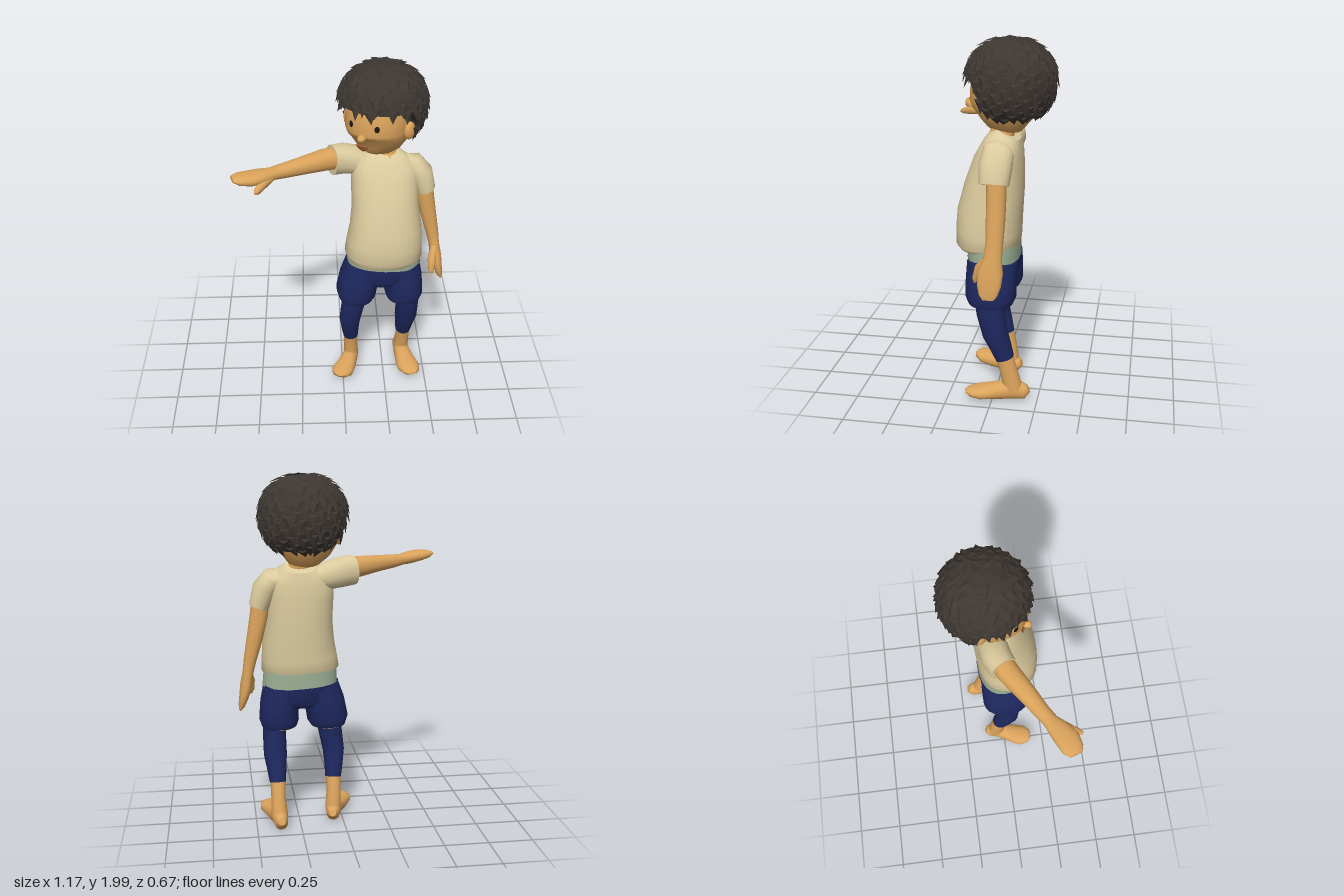
import * as THREE from 'three';

const mat = (name, color, extra = {}) => {
  const m = new THREE.MeshStandardMaterial({ color, ...extra });
  m.name = name;
  return m;
};
const X = new THREE.Vector3(1, 0, 0), Y = new THREE.Vector3(0, 1, 0);

// Closed skin over elliptical sections [x, y, z, radius along ref, radius across ref]
function loft(sections, ref = X, n = 18, power = 0.9) {
  const pos = [], index = [], m = sections.length;
  const at = i => new THREE.Vector3(...sections[Math.min(Math.max(i, 0), m - 1)].slice(0, 3));
  const soft = v => Math.sign(v) * Math.abs(v) ** power;
  const ring = i => {
    const [, , , a, b = a] = sections[i];
    const t = at(i + 1).sub(at(i - 1)).normalize();
    const u = ref.clone().addScaledVector(t, -ref.dot(t)).normalize();
    const v = t.clone().cross(u), start = pos.length / 3;
    for (let j = 0; j < n; j++) {
      const w = (j / n) * Math.PI * 2;
      pos.push(...at(i).addScaledVector(u, a * soft(Math.cos(w))).addScaledVector(v, b * soft(Math.sin(w))));
    }
    return start;
  };
  sections.forEach((s, i) => ring(i));
  for (let i = 0; i < m - 1; i++) {
    for (let j = 0; j < n; j++) {
      const a = i * n + j, b = i * n + (j + 1) % n;
      index.push(a, b, b + n, a, b + n, a + n);
    }
  }
  for (const [i, flip] of [[0, true], [m - 1, false]]) {
    const s = ring(i), c = pos.length / 3;
    pos.push(...at(i));
    for (let j = 0; j < n; j++) {
      const a = s + j, b = s + (j + 1) % n;
      index.push(...(flip ? [b, a, c] : [a, b, c]));
    }
  }
  const g = new THREE.BufferGeometry();
  g.setAttribute('position', new THREE.Float32BufferAttribute(pos, 3));
  g.setIndex(index);
  g.computeVertexNormals();
  return g;
}

// Hair: a cap with a low nape and high fringe, covered in pointed tufts
const hairEdge = phi => 1.5 + 1.12 * THREE.MathUtils.smoothstep(Math.abs(phi), 1.15, 1.75);
function hairPoint(theta, phi, r) {
  const s = Math.sin(theta), rho = 0.238 * r * (theta > Math.PI / 2 ? s ** 0.6 : s ** 0.92);
  return [rho * Math.sin(phi), 1.77 + 0.215 * r * Math.cos(theta), -0.05 + rho * Math.cos(phi)];
}
function hairGeometry() {
  const pos = [], rows = 9, cols = 32;
  const cap = (i, j) => {
    const phi = (j / cols) * Math.PI * 2 - Math.PI;
    const t = Math.min(i / (rows - 1), 1) * hairEdge(phi);
    return hairPoint(t, phi, i === rows ? 0.74 : 1);
  };
  for (let i = 0; i < rows; i++) {
    for (let j = 0; j < cols; j++) {
      const a = cap(i, j), b = cap(i, j + 1), c = cap(i + 1, j + 1), d = cap(i + 1, j);
      pos.push(...a, ...d, ...c, ...a, ...c, ...b);
    }
  }
  let seed = 7;
  const rand = () => (seed = (seed * 16807) % 2147483647) / 2147483647;
  const count = 230;
  for (let k = 0; k < count; k++) {
    const theta = Math.acos(1 - 2 * (k + 0.5) / count);
    const phi = ((k * 2.39996) % (Math.PI * 2)) - Math.PI;
    if (theta > hairEdge(phi) - 0.08) continue;
    const w = Math.min(0.17 / Math.sin(theta), 0.9), lean = (rand() - 0.5) * w * 1.2;
    const left = hairPoint(theta, phi - w, 0.985), right = hairPoint(theta, phi + w, 0.985);
    const ridge = hairPoint(theta + 0.08, phi, 1.035);
    const tip = hairPoint(Math.min(theta + 0.3 + rand() * 0.08, 2.8), phi + lean, 1.05 + rand() * 0.03);
    pos.push(...left, ...tip, ...ridge, ...ridge, ...tip, ...right, ...left, ...ridge, ...right);
  }
  const g = new THREE.BufferGeometry();
  g.setAttribute('position', new THREE.Float32BufferAttribute(pos, 3));
  g.computeVertexNormals();
  return g;
}

export function createModel() {
  const model = new THREE.Group();
  model.name = 'boy';
  const skin = mat('skin', 0xdca45c), shirt = mat('cream shirt', 0xdccb9e), navy = mat('navy', 0x1e2960);
  const green = mat('pale green', 0x9bae93), dark = mat('eye black', 0x1c1512), lips = mat('mouth brown', 0x9a5a34);
  const hair = mat('hair', 0x3d3631, { side: THREE.DoubleSide, flatShading: true });
  const add = (name, geometry, material, parent = model) => {
    const mesh = new THREE.Mesh(geometry, material);
    mesh.name = name;
    parent.add(mesh);
    return mesh;
  };

  // Torso, neck and waist
  add('shirt', loft([
    [0.23, 0.87, 0.04, 0.195, 0.155], [0.23, 0.9, 0.042, 0.22, 0.175], [0.235, 0.97, 0.04, 0.213, 0.177],
    [0.24, 1.06, 0.033, 0.203, 0.175], [0.235, 1.2, 0.01, 0.185, 0.16], [0.23, 1.34, -0.015, 0.185, 0.135],
    [0.23, 1.42, -0.035, 0.182, 0.11], [0.235, 1.46, -0.05, 0.14, 0.092], [0.235, 1.49, -0.065, 0.085, 0.07],
  ], X, 28, 0.86), shirt);
  add('neck', loft([[0.24, 1.4, -0.01, 0.05], [0.24, 1.44, -0.008, 0.072], [0.238, 1.475, -0.03, 0.068],
    [0.23, 1.52, -0.035, 0.058], [0.21, 1.6, -0.03, 0.06]]), skin);
  add('waistband', loft([[0.235, 0.8, 0.01, 0.213, 0.142], [0.232, 0.92, 0.015, 0.205, 0.145]], X, 24, 0.86), green);
  add('shortsHips', loft([[0.228, 0.69, 0.012, 0.12, 0.11], [0.228, 0.73, 0.012, 0.21, 0.138],
    [0.233, 0.815, 0.01, 0.216, 0.145]], X, 24, 0.86), navy);

  // Shorts legs, leggings and bare feet
  const legs = {
    right: {
      shorts: [[0.125, 0.8, 0.012, 0.108, 0.135], [0.095, 0.7, 0.015, 0.115, 0.138], [0.078, 0.61, 0.018, 0.117, 0.138],
        [0.077, 0.57, 0.018, 0.1, 0.12]],
      legging: [[0.07, 0.62, 0.03, 0.075, 0.08], [0.06, 0.52, 0.035, 0.068, 0.072], [0.042, 0.4, 0.025, 0.062, 0.065],
        [0.045, 0.32, 0.0, 0.053, 0.057], [0.05, 0.25, -0.02, 0.046, 0.05]],
      ankle: [[0.05, 0.26, -0.018, 0.043, 0.046], [0.05, 0.17, -0.04, 0.041, 0.045], [0.055, 0.06, -0.05, 0.045, 0.05]],
      foot: [[0.065, 0.06, -0.115, 0.02, 0.02], [0.06, 0.052, -0.09, 0.045, 0.038], [0.05, 0.06, -0.03, 0.055, 0.045],
        [0.02, 0.054, 0.05, 0.045, 0.058], [-0.005, 0.057, 0.11, 0.034, 0.066], [-0.02, 0.067, 0.15, 0.022, 0.048],
        [-0.025, 0.072, 0.165, 0.008, 0.02]],
    },
    left: {
      shorts: [[0.335, 0.8, 0.008, 0.108, 0.135], [0.355, 0.7, 0.01, 0.108, 0.138], [0.357, 0.61, 0.012, 0.113, 0.138],
        [0.355, 0.57, 0.012, 0.1, 0.12]],
      legging: [[0.375, 0.62, 0.02, 0.075, 0.08], [0.385, 0.52, 0.01, 0.066, 0.076], [0.383, 0.4, -0.015, 0.066, 0.07],
        [0.378, 0.32, -0.045, 0.055, 0.06], [0.375, 0.25, -0.068, 0.046, 0.052]],
      ankle: [[0.375, 0.26, -0.066, 0.043, 0.048], [0.375, 0.17, -0.09, 0.041, 0.048], [0.37, 0.06, -0.115, 0.047, 0.055]],
      foot: [[0.363, 0.06, -0.2, 0.02, 0.02], [0.365, 0.05, -0.175, 0.046, 0.038], [0.37, 0.057, -0.1, 0.056, 0.045],
        [0.388, 0.048, 0.0, 0.043, 0.058], [0.405, 0.046, 0.07, 0.034, 0.068], [0.42, 0.05, 0.12, 0.024, 0.05],
        [0.425, 0.053, 0.145, 0.008, 0.022]],
    },
  };
  for (const [side, leg] of Object.entries(legs)) {
    const [x, , z] = leg.shorts[3];
    add(side + 'ShortsLeg', loft(leg.shorts, X, 22, 0.86), navy);
    add(side + 'HemLining', loft([[x, 0.563, z, 0.085, 0.105], [x, 0.58, z, 0.085, 0.105]]), skin);
    add(side + 'Legging', loft(leg.legging), navy);
    add(side + 'Ankle', loft(leg.ankle), skin);
    add(side + 'Foot', loft(leg.foot, Y), skin);
  }

  // Raised right arm, pointing outward
  add('rightSleeve', loft([[0.15, 1.41, -0.05, 0.06, 0.07], [0.07, 1.435, -0.05, 0.078, 0.082],
    [0.0, 1.45, -0.035, 0.084, 0.08], [-0.06, 1.455, -0.008, 0.083, 0.075]], Y), shirt);
  add('rightArm', loft([[0.02, 1.46, -0.045, 0.062], [-0.1, 1.47, 0.018, 0.058, 0.06], [-0.22, 1.475, 0.092, 0.046, 0.05],
    [-0.32, 1.478, 0.15, 0.038, 0.042], [-0.38, 1.482, 0.188, 0.031, 0.04], [-0.43, 1.488, 0.222, 0.034, 0.056],
    [-0.49, 1.495, 0.258, 0.032, 0.064], [-0.545, 1.502, 0.275, 0.024, 0.056], [-0.575, 1.507, 0.285, 0.01, 0.035]], Y), skin);
  add('rightThumb', loft([[-0.375, 1.475, 0.205, 0.022], [-0.42, 1.465, 0.27, 0.024], [-0.447, 1.455, 0.32, 0.019],
    [-0.455, 1.452, 0.342, 0.008]], Y, 10), skin);

  // Hanging left arm
  add('leftSleeve', loft([[0.34, 1.435, -0.045, 0.035, 0.06], [0.385, 1.42, -0.035, 0.06, 0.082],
    [0.43, 1.36, -0.028, 0.068, 0.088], [0.461, 1.265, -0.025, 0.055, 0.078]]), shirt);
  add('leftArm', loft([[0.445, 1.36, -0.035, 0.05], [0.462, 1.22, -0.038, 0.05, 0.052], [0.49, 1.08, -0.038, 0.044, 0.05],
    [0.515, 0.97, -0.036, 0.036, 0.046], [0.53, 0.89, -0.03, 0.03, 0.048], [0.54, 0.82, -0.02, 0.034, 0.066],
    [0.555, 0.75, -0.014, 0.026, 0.064], [0.568, 0.7, -0.012, 0.018, 0.05], [0.577, 0.675, -0.012, 0.006, 0.03]]), skin);
  add('leftThumb', loft([[0.525, 0.89, 0.0, 0.02], [0.512, 0.83, 0.045, 0.024], [0.51, 0.77, 0.065, 0.018],
    [0.512, 0.745, 0.068, 0.007]], X, 10), skin);

  // Head, turned toward the pointing arm
  const head = new THREE.Group();
  head.name = 'head';
  head.position.set(0.19, 0, -0.03);
  head.rotation.y = -0.55;
  model.add(head);
  add('face', loft([[0, 1.505, 0.05, 0.035, 0.04], [0, 1.52, 0.045, 0.08, 0.088], [0, 1.555, 0.022, 0.13, 0.137],
    [0, 1.6, 0.005, 0.162, 0.172], [0, 1.65, 0, 0.176, 0.182], [0, 1.71, 0, 0.176, 0.176], [0, 1.79, 0, 0.17, 0.17],
    [0, 1.86, -0.01, 0.13, 0.13], [0, 1.92, -0.02, 0.05, 0.05]], X, 24, 1), skin, head);
  const blob = (name, material, x, y, z, sx, sy, sz) => {
    const mesh = add(name, new THREE.SphereGeometry(1, 14, 10), material, head);
    mesh.position.set(x, y, z);
    mesh.scale.set(sx, sy, sz);
    return mesh;
  };
  blob('nose', skin, 0, 1.645, 0.183, 0.022, 0.02, 0.03);
  for (const s of [-1, 1]) {
    const side = s > 0 ? 'left' : 'right';
    blob(side + 'Eye', dark, s * 0.076, 1.703, 0.159, 0.014, 0.018, 0.006).rotation.y = s * 0.45;
    blob(side + 'Ear', skin, s * 0.186, 1.66, 0.0, 0.022, 0.05, 0.036).rotation.y = -s * 0.4;
  }

  // Open smiling mouth
  const smile = new THREE.Shape();
  smile.moveTo(-0.036, 0.014);
  smile.quadraticCurveTo(0, 0.004, 0.036, 0.014);
  smile.quadraticCurveTo(0.02, -0.022, 0, -0.024);
  smile.quadraticCurveTo(-0.02, -0.022, -0.036, 0.014);
  const mouth = add('mouth', new THREE.ExtrudeGeometry(smile, { depth: 0.008, bevelEnabled: false }), lips, head);
  mouth.position.set(0, 1.592, 0.17);
  mouth.rotation.x = 0.35;

  add('hair', hairGeometry(), hair, head);
  return model;
}
